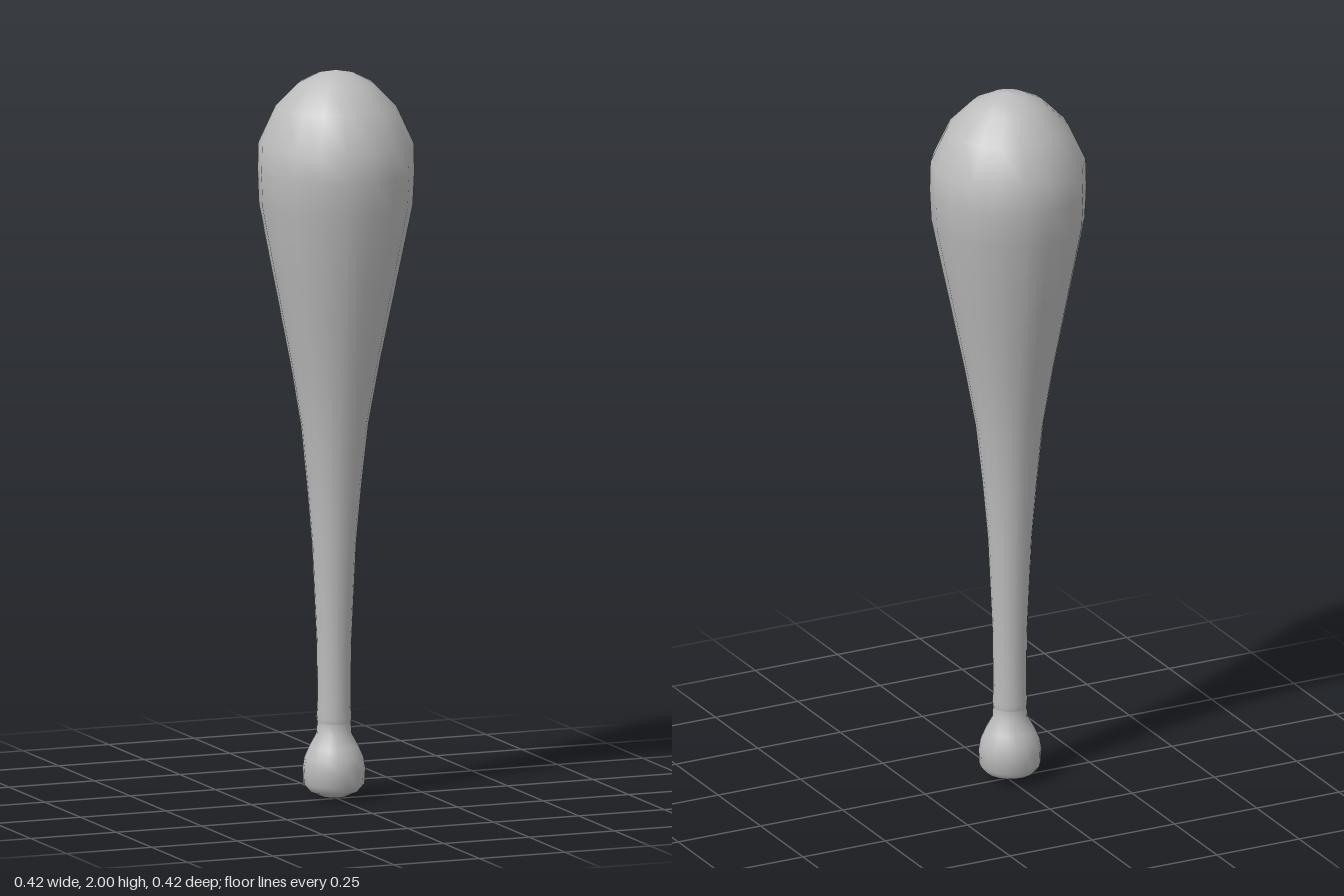
import * as THREE from 'three';

export function createModel() {
  const group = new THREE.Group();
  group.name = 'club';
  const grey = new THREE.MeshStandardMaterial({ color: 0xbcbcbc });
  grey.name = 'grey';

  // Revolve [radius, height] pairs; the lower shaft leans slightly off centre
  function turned(name, profile) {
    const geometry = new THREE.LatheGeometry(
      profile.map(([r, y]) => new THREE.Vector2(r, y)), 18, 0.1);
    const p = geometry.attributes.position;
    for (let i = 0; i < p.count; i++) {
      const lean = THREE.MathUtils.clamp((1.7 - p.getY(i)) / 0.9, 0, 1);
      p.setX(i, p.getX(i) - 0.002 - 0.006 * lean);
    }
    const mesh = new THREE.Mesh(geometry, grey);
    mesh.name = name;
    group.add(mesh);
  }

  // Rounded grip knob flowing into the neck
  turned('knob', [
    [0, 0], [0.035, 0.008], [0.066, 0.022], [0.083, 0.042], [0.085, 0.085],
    [0.08, 0.115], [0.067, 0.145], [0.048, 0.18], [0.046, 0.21],
  ]);

  // Slim handle swelling into a heavy domed head
  turned('body', [
    [0.046, 0.21], [0.048, 0.225], [0.046, 0.25], [0.047, 0.42], [0.06, 0.7],
    [0.074, 0.86], [0.092, 1.03], [0.122, 1.2], [0.166, 1.42], [0.208, 1.63],
    [0.212, 1.72], [0.21, 1.8], [0.164, 1.9], [0.1, 1.965], [0.05, 1.99], [0, 2],
  ]);

  return group;
}
